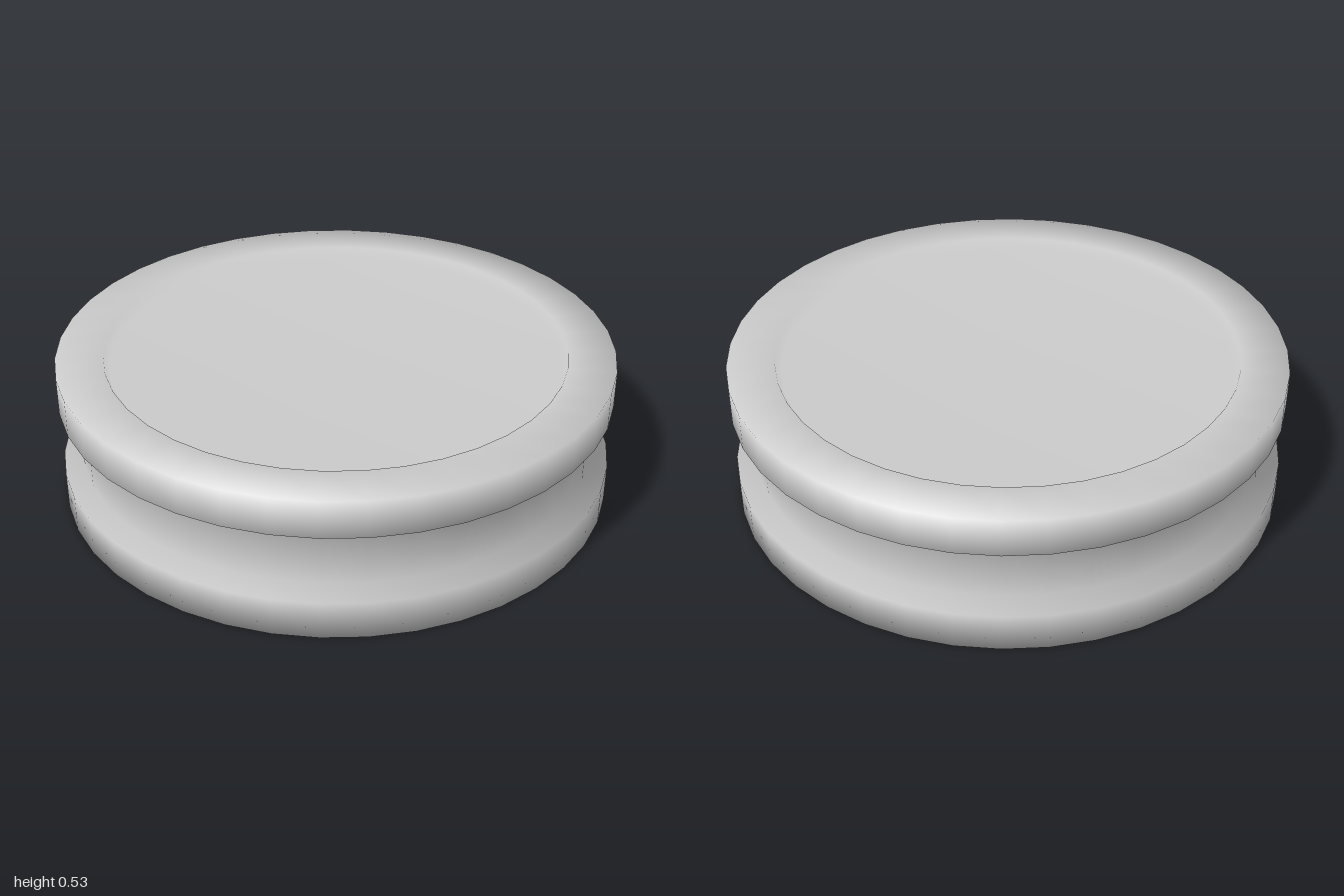
import * as THREE from 'three';

const SIDES = 40;

// Half profile [radius, height], from the underside centre round to the dish centre
const PROFILE = [
  [0, 0], [1, 0], [1, 0.137],               // lower flange
  [0.93, 0.166], [0.93, 0.362],             // groove
  [1, 0.39], [1, 0.527], [0.83, 0.527],     // upper flange and lip
  [0.81, 0.49], [0, 0.49],                  // shallow dish on top
];

export function createModel() {
  const model = new THREE.Group();
  model.name = 'groovedDisc';

  // One smooth turned body
  const points = PROFILE.map(([r, y]) => new THREE.Vector2(r, y));
  const body = new THREE.Mesh(
    new THREE.LatheGeometry(points, SIDES),
    new THREE.MeshStandardMaterial({ color: 0xcccccc }),
  );
  body.name = 'discBody';
  model.add(body);

  return model;
}
